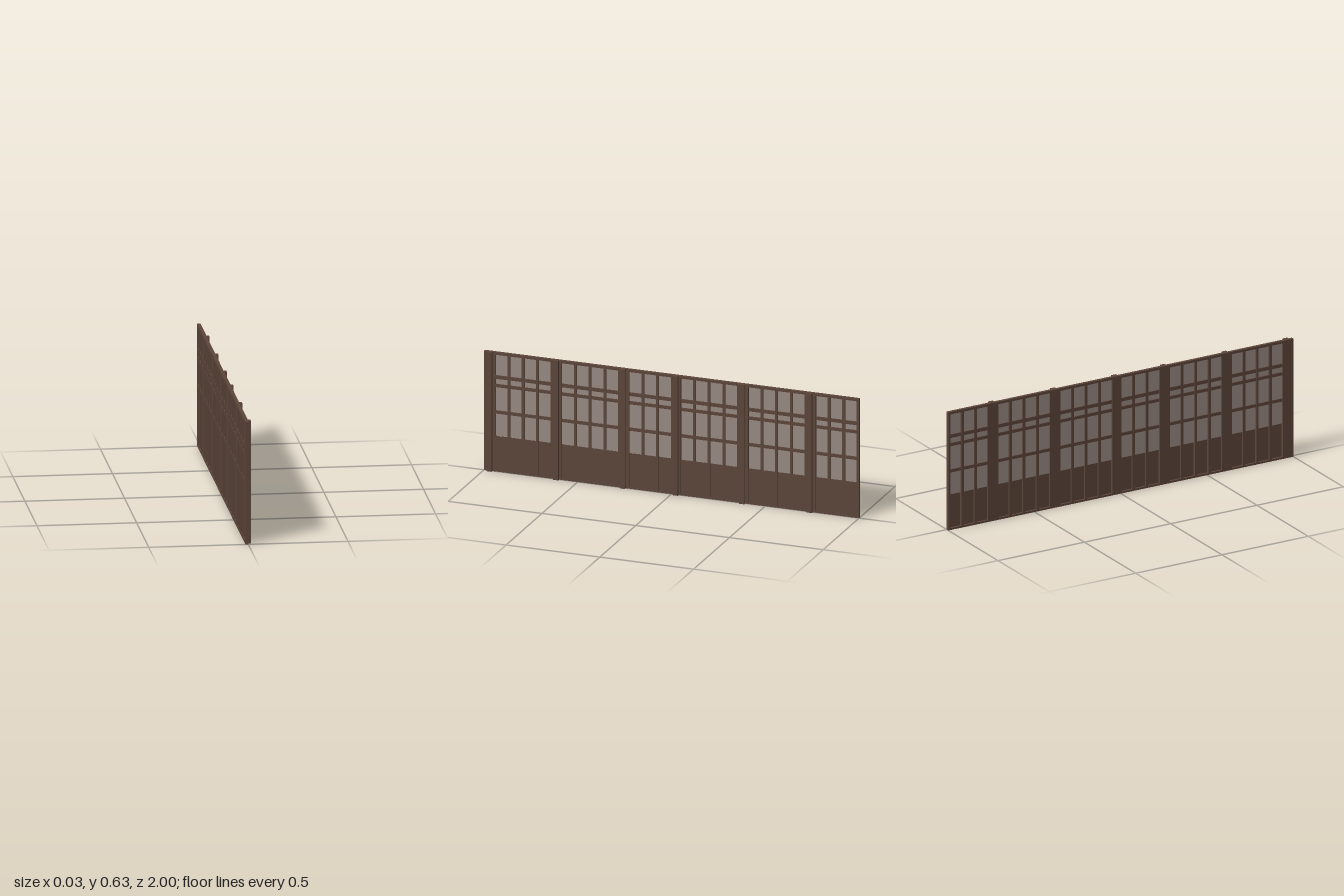
import * as THREE from 'three';

export function createModel() {
  const group = new THREE.Group();
  const wood = new THREE.MeshStandardMaterial({ color: 0x5d463b });
  wood.name = 'brown wood';
  const glass = new THREE.MeshStandardMaterial({ color: 0x998b85 });
  glass.name = 'pale glass';

  // Box given by its extents on each axis
  const box = (name, mat, x0, x1, y0, y1, z0, z1) => {
    const mesh = new THREE.Mesh(new THREE.BoxGeometry(x1 - x0, y1 - y0, z1 - z0), mat);
    mesh.position.set((x0 + x1) / 2, (y0 + y1) / 2, (z0 + z1) / 2);
    mesh.name = name;
    group.add(mesh);
  };

  const BACK = -0.015, FACE = 0.002, H = 0.63;
  const SILL = 0.187, HEAD = 0.617, BAR = 0.014;

  // Bays: low z, high z, number of panes
  const bays = [
    [-0.988, -0.77, 3], [-0.71, -0.41, 4], [-0.35, -0.05, 4],
    [0.003, 0.225, 3], [0.285, 0.585, 4], [0.645, 0.938, 4],
  ];

  // Rails along the whole wall
  box('topRail', wood, BACK, FACE, HEAD, H, -1, 1);
  box('bottomRail', wood, BACK, FACE, 0, 0.01, -1, 1);

  // Broad uprights between the bays
  let edge = -1;
  for (const [z0, z1] of [...bays, [1, 1]]) {
    box('upright', wood, BACK, FACE + 0.001, 0.01, HEAD, edge, z0);
    edge = z1;
  }

  // Narrow posts standing proud of the wall
  for (const z of [-0.739, -0.38, -0.025, 0.257, 0.613, 0.968]) {
    box('post', wood, FACE, 0.015, 0, H, z - 0.0135, z + 0.0135);
  }

  for (const [z0, z1, n] of bays) {
    // Panel below, open to the studs at the back, and glazing above
    box('lowerPanel', wood, -0.004, 0.001, 0.01, SILL, z0, z1);
    box('glazing', glass, -0.007, -0.005, SILL, HEAD, z0, z1);

    // Full-height mullions
    const pitch = (z1 - z0 + BAR) / n;
    for (let i = 1; i < n; i++) {
      const z = z0 + i * pitch - BAR;
      box('mullion', wood, BACK, FACE, 0.01, HEAD, z, z + BAR);
    }

    // Horizontal glazing bars
    for (const [y0, y1] of [[0.306, 0.322], [0.446, 0.462], [0.49, 0.508]]) {
      box('glazingBar', wood, BACK + 0.002, FACE - 0.001, y0, y1, z0, z1);
    }
  }
  return group;
}
